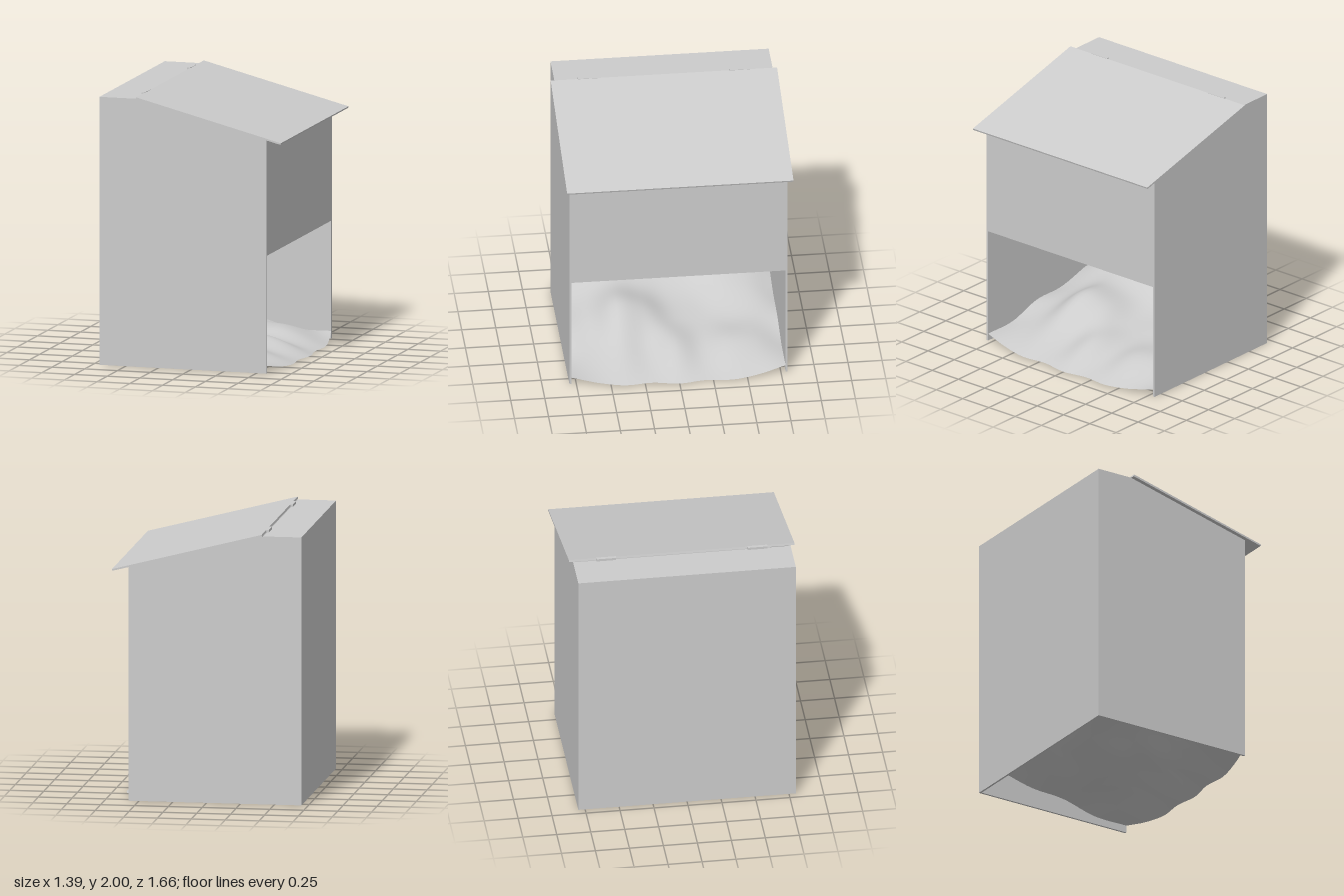
import * as THREE from 'three';

const T = 0.015; // sheet thickness

export function createModel() {
  const sheetGrey = new THREE.MeshStandardMaterial({ color: 0xcccccc, side: THREE.DoubleSide });
  sheetGrey.name = 'sheetGrey';
  const model = new THREE.Group();
  model.name = 'storageBin';

  const add = (name, geometry) => {
    const mesh = new THREE.Mesh(geometry, sheetGrey);
    mesh.name = name;
    model.add(mesh);
    return mesh;
  };
  const box = (name, x0, x1, y0, y1, z0, z1) =>
    add(name, new THREE.BoxGeometry(x1 - x0, y1 - y0, z1 - z0))
      .position.set((x0 + x1) / 2, (y0 + y1) / 2, (z0 + z1) / 2);
  // Extrudes an x-y outline along z, from z0 to z1
  const extrude = (name, points, z0, z1) => {
    const shape = new THREE.Shape(points.map(([x, y]) => new THREE.Vector2(x, y)));
    add(name, new THREE.ExtrudeGeometry(shape, { depth: z1 - z0, bevelEnabled: false }))
      .position.z = z0;
  };

  // Side walls with sloping tops
  const side = [[-0.7, 0], [0.575, 0], [0.575, 1.73], [-0.42, 1.982], [-0.7, 1.982]];
  extrude('leftWall', side, 0.8 - T, 0.8);
  extrude('rightWall', side, -0.8, -0.8 + T);

  // Back wall, fixed roof strip and upper front panel
  const inner = 0.8 - T;
  box('backWall', -0.7, -0.7 + T, 0, 1.982, -inner, inner);
  box('roofStrip', -0.7 + T, -0.42, 1.982 - T, 1.982, -inner, inner);
  box('frontPanel', 0.575 - T, 0.575, 0.87, 1.73, -inner, inner);

  // Sloping hopper floor
  extrude('hopperFloor', [[-0.685, 0.41], [0.575, 0.87], [0.575, 0.885], [-0.685, 0.425]], -inner, inner);

  // Overhanging lid and its hinges
  extrude('lid', [[-0.415, 1.983], [0.69, 1.703], [0.694, 1.715], [-0.411, 1.998]], -0.83, 0.83);
  for (const s of [-1, 1]) {
    const z = s * 0.557;
    box(s > 0 ? 'leftHinge' : 'rightHinge', -0.432, -0.408, 1.98, 2, z - 0.0725, z + 0.0725);
  }

  // Heap of loose material: control rows from front to back, each from +z to -z
  const frontX = [0.575, 0.615, 0.645, 0.63, 0.66, 0.635, 0.65, 0.62, 0.575];
  const backX = [-0.53, -0.64, -0.683, -0.683, -0.683, -0.683, -0.683, -0.64, -0.53];
  const heights = [
    [0.055, 0.02, 0.005, 0.005, 0.003, 0.005, 0.005, 0.02, 0.055],
    [0.06, 0.09, 0.13, 0.1, 0.14, 0.09, 0.13, 0.12, 0.06],
    [0.14, 0.17, 0.29, 0.24, 0.15, 0.13, 0.13, 0.14, 0.13],
    [0.15, 0.22, 0.27, 0.24, 0.2, 0.2, 0.25, 0.23, 0.15],
    [0.22, 0.34, 0.38, 0.395, 0.4, 0.395, 0.38, 0.34, 0.22],
  ];
  const across = 40, along = 28;
  const rows = heights.map((row, i) => {
    const t = i / (heights.length - 1);
    const curve = new THREE.CatmullRomCurve3(row.map((y, j) => new THREE.Vector3(
      THREE.MathUtils.lerp(frontX[j], backX[j], t), y, inner - (j / 8) * 2 * inner)));
    return curve.getPoints(across);
  });
  const position = [], index = [];
  for (let j = 0; j <= across; j++) {
    const line = new THREE.CatmullRomCurve3(rows.map((row) => row[j])).getPoints(along);
    for (const p of line) position.push(p.x, Math.max(0, p.y), p.z);
  }
  for (let j = 0; j < across; j++) {
    for (let i = 0; i < along; i++) {
      const a = j * (along + 1) + i, b = a + along + 1;
      index.push(a, b, a + 1, b, b + 1, a + 1);
    }
  }
  const heap = new THREE.BufferGeometry();
  heap.setAttribute('position', new THREE.Float32BufferAttribute(position, 3));
  heap.setIndex(index);
  heap.computeVertexNormals();
  add('looseHeap', heap);

  return model;
}
